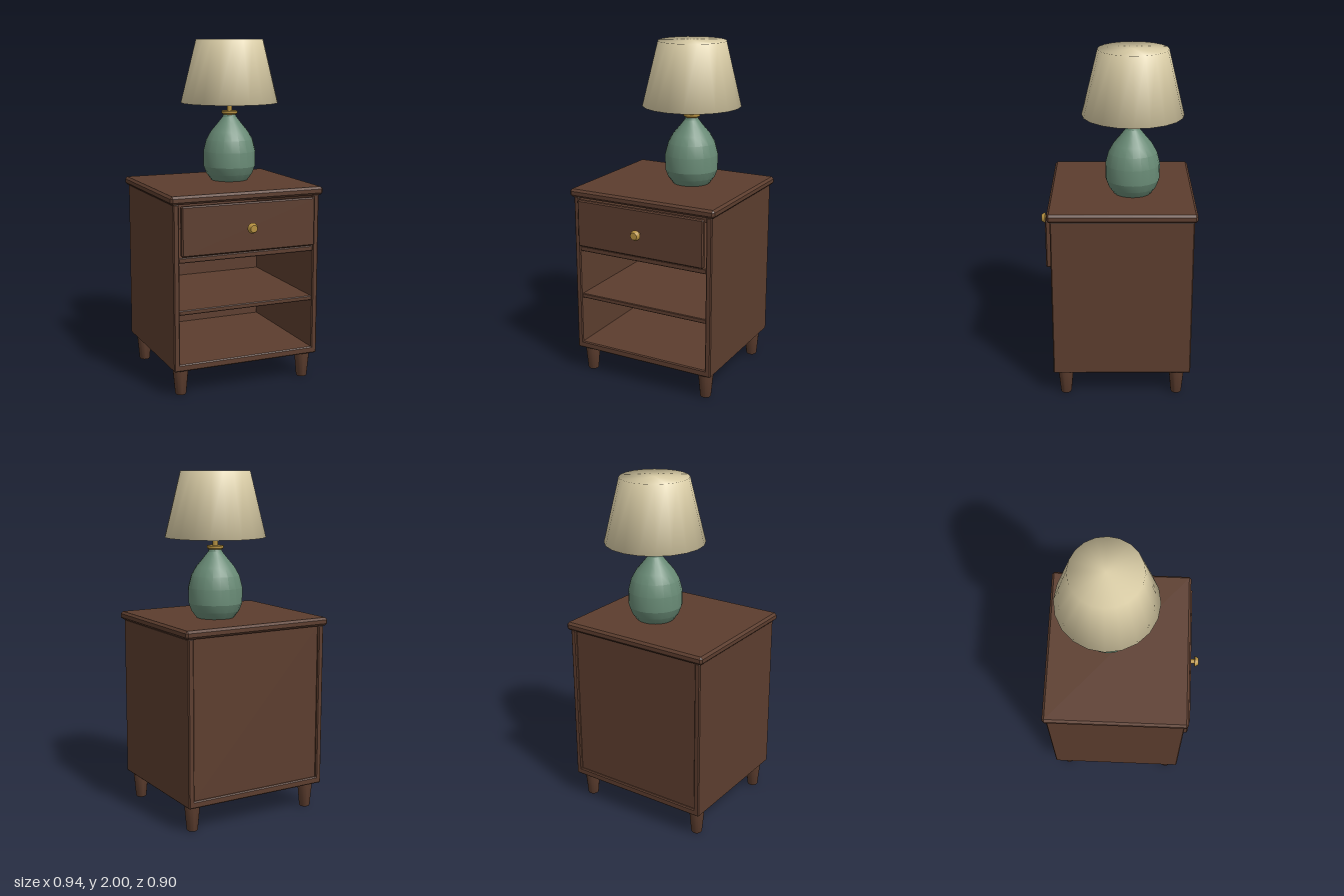
import * as THREE from 'three';
import { mergeVertices, toCreasedNormals } from 'three/addons/utils/BufferGeometryUtils.js';
import { ConvexGeometry } from 'three/addons/geometries/ConvexGeometry.js';

const material = (name, color) => {
  const m = new THREE.MeshStandardMaterial({ color });
  m.name = name;
  return m;
};

// Box between two corners with every edge chamfered by b
function bevelBox(min, max, b) {
  const size = min.map((v, i) => (max[i] - v) / 2);
  const mid = min.map((v, i) => (max[i] + v) / 2);
  const points = [];
  for (const sx of [-1, 1]) for (const sy of [-1, 1]) for (const sz of [-1, 1]) {
    for (let full = 0; full < 3; full++) {
      const p = [sx, sy, sz].map((s, i) => mid[i] + s * (size[i] - (i === full ? 0 : b)));
      points.push(new THREE.Vector3(...p));
    }
  }
  return new ConvexGeometry(points);
}

// Turned solid from [radius, height] pairs, with edges sharper than the crease kept hard
function turned(profile, sides, crease = 0.5) {
  const geo = new THREE.LatheGeometry(profile.map(([r, y]) => new THREE.Vector2(r, y)), sides);
  return toCreasedNormals(geo, crease);
}

export function createModel() {
  const model = new THREE.Group();
  model.name = 'nightstandWithLamp';
  const wood = material('dark wood', 0x5c3d2e);
  const brass = material('brass', 0xb5903f);
  const ceramic = material('green ceramic', 0x688a75);
  const fabric = material('cream fabric', 0xdccfa8);

  const add = (parent, name, geo, mat, x = 0, y = 0, z = 0) => {
    const mesh = new THREE.Mesh(geo, mat);
    mesh.name = name;
    mesh.position.set(x, y, z);
    parent.add(mesh);
    return mesh;
  };

  // Cabinet: open carcass with shelves and a recessed back
  const cabinet = new THREE.Group();
  cabinet.name = 'cabinet';
  model.add(cabinet);
  const board = (name, min, max, b) => add(cabinet, name, bevelBox(min, max, b), wood);
  board('tabletop', [-0.47, 1.112, -0.45], [0.47, 1.16, 0.388], 0.013);
  board('bottomPanel', [-0.45, 0.155, -0.433], [0.45, 0.195, 0.37], 0.006);
  board('leftSide', [0.415, 0.158, -0.433], [0.45, 1.113, 0.37], 0.006);
  board('rightSide', [-0.45, 0.158, -0.433], [-0.415, 1.113, 0.37], 0.006);
  board('backPanel', [-0.417, 0.19, -0.42], [0.417, 1.113, -0.4], 0.003);
  board('middleShelf', [-0.417, 0.48, -0.402], [0.417, 0.507, 0.36], 0.004);
  board('drawerShelf', [-0.417, 0.78, -0.402], [0.417, 0.81, 0.365], 0.004);
  board('drawerFront', [-0.41, 0.82, 0.365], [0.41, 1.103, 0.398], 0.007);

  // Drawer knob, turned along its own axis and pointed forwards
  const knob = add(cabinet, 'drawerKnob', turned(
    [[0, 0], [0.014, 0], [0.014, 0.03], [0.031, 0.03], [0.029, 0.038], [0.021, 0.053], [0, 0.053]], 16),
    brass, 0, 0.96, 0.397);
  knob.rotation.x = Math.PI / 2;

  // Tapered legs
  const legShape = turned([[0, 0], [0.029, 0], [0.032, 0.005], [0.046, 0.158], [0, 0.158]], 16);
  for (const x of [-0.389, 0.389]) {
    for (const [end, z] of [['front', 0.3], ['back', -0.355]]) {
      add(cabinet, `${end}${x > 0 ? 'Left' : 'Right'}Leg`, legShape, wood, x, 0, z);
    }
  }

  // Table lamp
  const lamp = new THREE.Group();
  lamp.name = 'lamp';
  lamp.position.set(0.083, 1.16, -0.093);
  model.add(lamp);
  add(lamp, 'lampBase', turned(
    [[0, 0], [0.11, 0], [0.14, 0.04], [0.157, 0.085], [0.158, 0.175], [0.14, 0.245],
      [0.112, 0.295], [0.07, 0.345], [0.042, 0.38], [0.036, 0.397], [0, 0.397]], 20, 0.33), ceramic);
  add(lamp, 'lampCollar', turned(
    [[0, 0.393], [0.036, 0.393], [0.048, 0.402], [0.048, 0.416], [0, 0.416]], 20), brass);
  add(lamp, 'lampStem', new THREE.CylinderGeometry(0.015, 0.015, 0.06, 12), brass, 0, 0.442, 0);

  // Closed shade, softly shaded over its rims
  let shade = new THREE.CylinderGeometry(0.2, 0.292, 0.375, 20);
  shade.deleteAttribute('normal');
  shade.deleteAttribute('uv');
  shade = mergeVertices(shade);
  shade.computeVertexNormals();
  add(lamp, 'lampShade', shade, fabric, 0, 0.6525, 0);

  return model;
}
